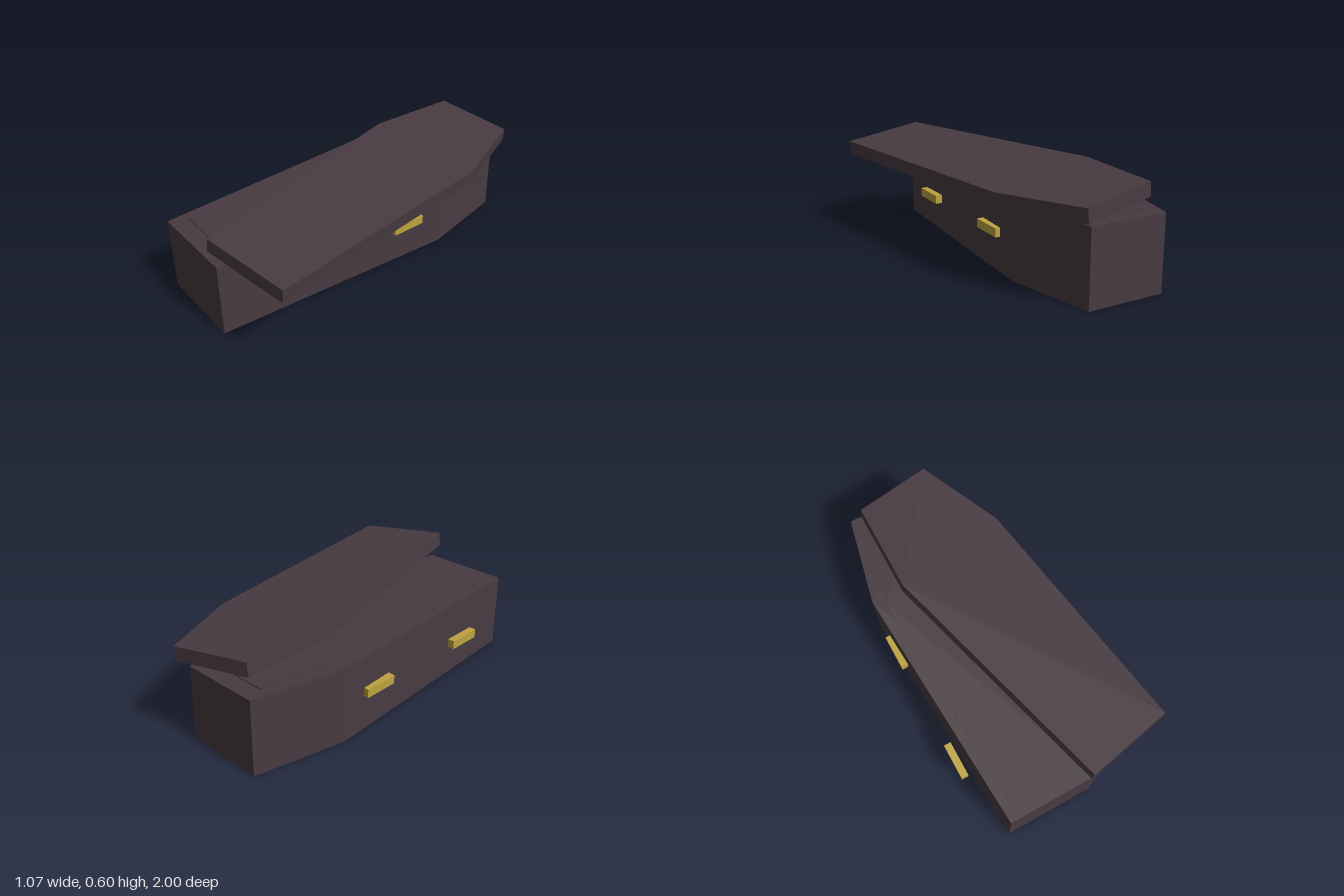
import * as THREE from 'three';

// Half outline of the casket: [half width, z] from foot to head
const HALF = [[0.255, 0.97], [0.337, -0.458], [0.225, -0.97]];

function outline(sx = 1, sz = 1) {
  const left = HALF.map(([x, z]) => [x * sx, z * sz]);
  const right = left.map(([x, z]) => [-x, z]).reverse();
  return [...left, ...right];
}

function outlineShape(points) {
  // Shape y becomes -z once laid flat
  return new THREE.Shape(points.map(([x, z]) => new THREE.Vector2(x, -z)));
}

// Flat slab with its underside at y = 0
function slab(points, height) {
  const g = new THREE.ExtrudeGeometry(outlineShape(points), { depth: height, bevelEnabled: false });
  return g.rotateX(-Math.PI / 2);
}

// Upright wall panels around an outline, open above and below
function walls(points, height) {
  const pos = [];
  points.forEach(([ax, az], i) => {
    const [bx, bz] = points[(i + 1) % points.length];
    pos.push(ax, 0, az, bx, 0, bz, bx, height, bz);
    pos.push(ax, 0, az, bx, height, bz, ax, height, az);
  });
  const g = new THREE.BufferGeometry();
  g.setAttribute('position', new THREE.Float32BufferAttribute(pos, 3));
  g.computeVertexNormals();
  return g;
}

export function createModel() {
  const model = new THREE.Group();
  model.name = 'casket';

  const wood = new THREE.MeshStandardMaterial({ color: 0x483b41, side: THREE.DoubleSide });
  wood.name = 'dark wood';
  const brass = new THREE.MeshStandardMaterial({ color: 0xbfa340 });
  brass.name = 'brass';

  const add = (parent, name, geometry, material) => {
    const mesh = new THREE.Mesh(geometry, material);
    mesh.name = name;
    parent.add(mesh);
    return mesh;
  };

  // Box: thin walls, flat rim and a slightly raised inner panel, open underneath
  const body = new THREE.Group();
  body.name = 'body';
  body.position.set(-0.18, 0, 0.015);
  model.add(body);
  add(body, 'bodyWalls', walls(outline(), 0.43), wood);
  const rim = new THREE.ShapeGeometry(outlineShape(outline())).rotateX(-Math.PI / 2);
  add(body, 'rim', rim, wood).position.y = 0.43;
  add(body, 'innerPanel', slab(outline(0.824, 0.9), 0.009), wood).position.y = 0.427;

  // Two handles on each side
  for (const side of [-1, 1]) {
    for (const z of [0.513, -0.203]) {
      const handle = add(body, 'handle', new THREE.BoxGeometry(0.04, 0.05, 0.203), brass);
      handle.position.set(side * 0.336, 0.225, z);
    }
  }

  // Lid: pushed aside, turned and tipped over one edge
  const lid = add(model, 'lid', slab(outline(), 0.08).translate(0, -0.08, 0), wood);
  lid.rotation.set(0, 0.208, -0.104, 'YXZ');
  lid.position.set(0.082, 0.562, -0.005);

  return model;
}
